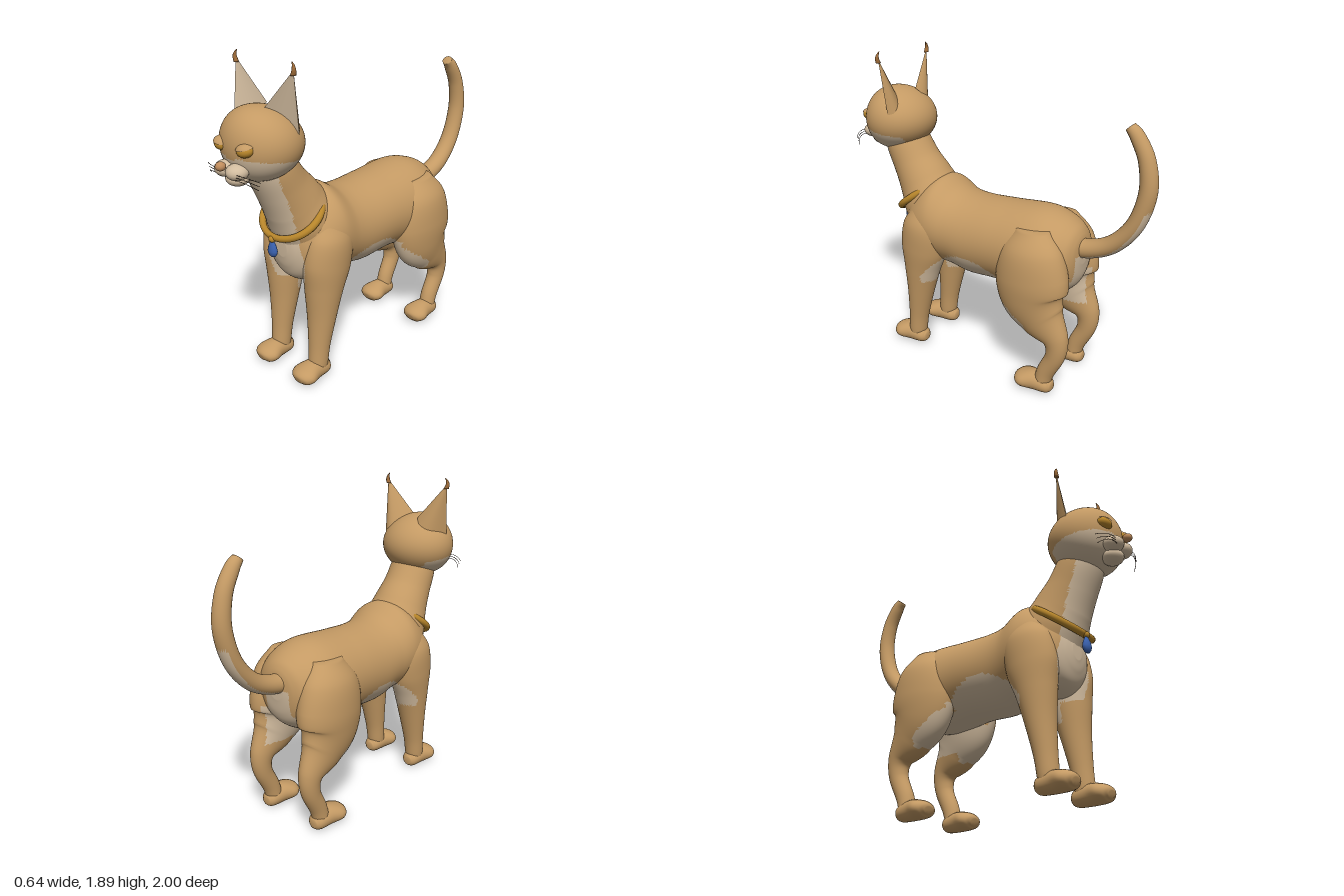
import * as THREE from 'three';

const material = (name, color) => {
  const m = new THREE.MeshStandardMaterial({ color });
  m.name = name;
  return m;
};

export function createModel() {
  const model = new THREE.Group();
  model.name = 'cat';
  const tan = material('tan fur', 0xc49a64);
  const cream = material('cream fur', 0xd2bc9f);
  const gold = material('gold', 0xb8862b);
  const blue = material('blue gem', 0x3a62b0);
  const noseColor = material('nose', 0xc08c5c);
  const brown = material('brown tuft', 0x9c6a38);
  const dark = material('dark whisker', 0x3a2c20);
  const furs = [tan, cream];

  const add = (name, geometry, mat, parent = model) => {
    const mesh = new THREE.Mesh(geometry, mat);
    mesh.name = name;
    parent.add(mesh);
    return mesh;
  };

  // Closed smooth surface from rows of points; isCream picks each face's fur colour
  function skin(name, rows, isCream) {
    const n = rows[0].length, pts = rows.flat(), lists = [[], []];
    const mid = new THREE.Vector3();
    for (let v = 0; v < rows.length - 1; v++) {
      for (let u = 0; u < n; u++) {
        const a = v * n + u, b = v * n + (u + 1) % n, c = b + n, d = a + n;
        for (const tri of [[a, b, c], [a, c, d]]) {
          mid.set(0, 0, 0);
          tri.forEach(i => mid.addScaledVector(pts[i], 1 / 3));
          lists[isCream(mid) ? 1 : 0].push(...tri);
        }
      }
    }
    const g = new THREE.BufferGeometry().setFromPoints(pts);
    g.setIndex([...lists[0], ...lists[1]]);
    g.addGroup(0, lists[0].length, 0);
    g.addGroup(lists[0].length, lists[1].length, 1);
    g.computeVertexNormals();
    return add(name, g, furs);
  }

  // Elliptical loft through keys [x, y, z, half width, half depth]; upright keeps rings vertical
  function loft(name, keys, { isCream = () => false, n = 56, steps = 10, upright = false } = {}) {
    const path = new THREE.CatmullRomCurve3(keys.map(k => new THREE.Vector3(k[0], k[1], k[2])), false, 'catmullrom');
    const size = new THREE.CatmullRomCurve3(keys.map(k => new THREE.Vector3(k[3], k[4], 0)), false, 'catmullrom');
    const X = new THREE.Vector3(1, 0, 0), rows = [], count = (keys.length - 1) * steps;
    const ring = (t, scale) => {
      const c = path.getPoint(t), s = size.getPoint(t);
      const T = upright ? new THREE.Vector3(0, 0, 1) : path.getTangent(t).setX(0).normalize();
      const N = T.cross(X);
      rows.push(Array.from({ length: n }, (_, i) => {
        const a = i / n * Math.PI * 2;
        return c.clone().addScaledVector(X, Math.cos(a) * s.x * scale).addScaledVector(N, Math.sin(a) * s.y * scale);
      }));
    };
    ring(0, 0);
    for (let i = 0; i <= count; i++) ring(i / count, 1);
    ring(1, 0);
    return skin(name, rows, isCream);
  }

  const ball = (name, mat, x, y, z, rx, ry, rz, parent) => {
    const m = add(name, new THREE.SphereGeometry(1, 24, 16), mat, parent);
    m.position.set(x, y, z);
    m.scale.set(rx, ry, rz);
    return m;
  };

  // Pale fur on chest, belly, inner legs and rump
  const bodyFur = ({ x, y, z }) => {
    const a = Math.abs(x);
    if (z > 0.44 && y > 0.58 && a < 0.132 + 0.018 * Math.sin(y * 16 + 2.5)) return true;
    if (z > -0.16 && z < 0.4 && y > 0.5 && y < 0.75 - 1.9 * (z - 0.07) ** 2) return true;
    if (z < -0.08 && z > -0.37 && y > 0.41 && y < 0.65 + (z + 0.12) * 0.75) return true;
    if (z < -0.45 && a < 0.09 && y < 0.87) return true;
    return a < 0.14 && y > 0.47 && y < 0.72 && z < 0.44;
  };

  loft('torso', [
    [0, 0.87, -0.6, 0.05, 0.06], [0, 0.85, -0.585, 0.12, 0.135], [0, 0.84, -0.55, 0.18, 0.19],
    [0, 0.835, -0.47, 0.235, 0.24], [0, 0.835, -0.34, 0.265, 0.268], [0, 0.835, -0.1, 0.256, 0.25],
    [0, 0.825, 0.1, 0.25, 0.25], [0, 0.845, 0.23, 0.25, 0.247], [0, 0.88, 0.36, 0.265, 0.275],
    [0, 0.845, 0.48, 0.24, 0.255], [0, 0.82, 0.56, 0.17, 0.19], [0, 0.82, 0.595, 0.1, 0.12],
    [0, 0.82, 0.61, 0.04, 0.05],
  ], { isCream: bodyFur, n: 80, upright: true });

  loft('neck', [
    [0, 0.84, 0.42, 0.2, 0.17], [0, 0.98, 0.465, 0.205, 0.185], [0, 1.09, 0.525, 0.175, 0.17],
    [0, 1.2, 0.595, 0.153, 0.147], [0, 1.32, 0.66, 0.143, 0.135], [0, 1.42, 0.7, 0.12, 0.12],
  ], { isCream: ({ x, y, z }) => Math.abs(x) < 0.128 && z > 0.5 + (y - 0.98) * 0.58 });

  // Tail, pale along the outside of its lower curve
  loft('tail', [
    [0, 0.91, -0.5, 0.06, 0.06], [0, 0.905, -0.62, 0.06, 0.055], [0, 0.97, -0.77, 0.058, 0.052],
    [0, 1.11, -0.89, 0.055, 0.05], [0, 1.3, -0.948, 0.052, 0.05], [0, 1.47, -0.93, 0.047, 0.046],
    [0, 1.59, -0.87, 0.042, 0.04], [0, 1.64, -0.825, 0.032, 0.03],
  ], {
    isCream: ({ x, y, z }) => y < 1.2 && Math.abs(x) < 0.045
      && Math.hypot(y - 1.35, z + 0.55) > 0.41 + 0.11 * (1.35 - y),
    n: 32,
  });

  // Head with a pale lower face
  const headRows = [];
  for (let v = 0; v <= 64; v++) {
    const p = -Math.PI / 2 + v / 64 * Math.PI;
    headRows.push(Array.from({ length: 80 }, (_, u) => {
      const a = -u / 80 * Math.PI * 2, r = Math.cos(p), h = Math.sin(p);
      return new THREE.Vector3(0.23 * r * Math.cos(a), 1.465 + 0.197 * h, 0.705 + 0.212 * r * Math.sin(a) + 0.03 * h * h);
    }));
  }
  skin('head', headRows, ({ x, y, z }) => z > 0.58 && y < 1.43 - 0.13 * (0.9 - z) - (Math.abs(x) < 0.03 ? 0.012 : 0));

  // Chin and nose
  ball('chin', cream, 0, 1.312, 0.873, 0.065, 0.042, 0.062);
  ball('nose', noseColor, 0, 1.398, 0.972, 0.027, 0.024, 0.028);

  for (const s of [1, -1]) {
    const side = s > 0 ? 'left' : 'right';

    loft(side + 'FrontLeg', [
      [s * 0.16, 0.98, 0.4, 0.07, 0.09], [s * 0.172, 0.87, 0.405, 0.108, 0.145],
      [s * 0.168, 0.72, 0.425, 0.115, 0.155], [s * 0.164, 0.57, 0.447, 0.104, 0.12],
      [s * 0.163, 0.4, 0.468, 0.085, 0.087], [s * 0.163, 0.22, 0.492, 0.065, 0.064],
      [s * 0.163, 0.1, 0.505, 0.058, 0.058], [s * 0.163, 0.05, 0.51, 0.05, 0.05],
    ], { isCream: bodyFur });

    loft(side + 'HindLeg', [
      [s * 0.16, 1.02, -0.36, 0.07, 0.1], [s * 0.178, 0.9, -0.365, 0.125, 0.19],
      [s * 0.185, 0.74, -0.37, 0.137, 0.228], [s * 0.19, 0.61, -0.385, 0.122, 0.212],
      [s * 0.193, 0.5, -0.45, 0.094, 0.155], [s * 0.195, 0.39, -0.54, 0.064, 0.083],
      [s * 0.195, 0.28, -0.545, 0.053, 0.06], [s * 0.193, 0.15, -0.485, 0.05, 0.054],
      [s * 0.193, 0.06, -0.46, 0.05, 0.05],
    ], { isCream: bodyFur });

    for (const [kind, x, z] of [['Front', 0.163, 0.545], ['Hind', 0.193, -0.415]]) {
      loft(side + kind + 'Paw', [
        [s * x, 0.06, z - 0.115, 0.025, 0.025], [s * x, 0.06, z - 0.085, 0.053, 0.048],
        [s * x, 0.067, z, 0.066, 0.06], [s * x, 0.063, z + 0.065, 0.084, 0.053],
        [s * x, 0.056, z + 0.105, 0.066, 0.042], [s * x, 0.05, z + 0.122, 0.03, 0.02],
      ], { n: 28, steps: 5 });
    }

    // Ear: curved tan back shell and shallow cream front; both ears turn slightly to the left
    const tip = new THREE.Vector3(s * 0.222, 1.86, 0.672);
    const inner = new THREE.Vector3(s * 0.045, 1.645, s > 0 ? 0.725 : 0.625);
    const outer = new THREE.Vector3(s * 0.207, 1.53, s > 0 ? 0.635 : 0.72);
    const sheet = (name, mid, mat) => {
      const base = new THREE.QuadraticBezierCurve3(inner, mid, outer);
      const pts = [], index = [], n = 12, m = 10;
      for (let v = 0; v <= m; v++)
        for (let u = 0; u <= n; u++) pts.push(base.getPoint(u / n).lerp(tip, v / m));
      for (let v = 0; v < m; v++)
        for (let u = 0; u < n; u++) {
          const a = v * (n + 1) + u, d = a + n + 1;
          const flip = (s > 0) === (mat === cream);
          index.push(...(flip ? [a, a + 1, d + 1, a, d + 1, d] : [a, d + 1, a + 1, a, d, d + 1]));
        }
      const g = new THREE.BufferGeometry().setFromPoints(pts);
      g.setIndex(index);
      g.computeVertexNormals();
      add(name, g, mat);
    };
    sheet(side + 'EarBack', new THREE.Vector3(s * 0.14, 1.54, 0.53), tan);
    sheet(side + 'EarInner', new THREE.Vector3(s * 0.12, 1.57, 0.655), cream);
    loft(side + 'EarTuft', [
      [s * 0.219, 1.835, 0.672, 0.016, 0.014], [s * 0.227, 1.862, 0.674, 0.012, 0.011],
      [s * 0.222, 1.885, 0.672, 0.007, 0.007], [s * 0.21, 1.9, 0.67, 0.002, 0.002],
    ], { n: 10, steps: 4 }).material = brown;

    // Eye under a heavy lid
    const eye = new THREE.Group();
    eye.name = side + 'Eye';
    eye.position.set(s * 0.093, 1.478, 0.885);
    eye.rotation.set(0.1, s * 0.35, s * 0.15);
    model.add(eye);
    ball('eyeball', gold, 0, 0, 0, 0.048, 0.034, 0.042, eye);
    const lid = add('upperLid', new THREE.SphereGeometry(1, 24, 10, 0, Math.PI * 2, 0, 1.2), tan, eye);
    lid.scale.set(0.054, 0.038, 0.047);

    // Cheek pad and whiskers
    ball(side + 'MuzzlePad', cream, s * 0.045, 1.362, 0.907, 0.06, 0.043, 0.06);
    for (let i = 0; i < 3; i++) {
      const y = 1.365 - i * 0.014;
      const hair = new THREE.QuadraticBezierCurve3(
        new THREE.Vector3(s * 0.075, y, 0.945), new THREE.Vector3(s * 0.15, y + 0.01, 0.95),
        new THREE.Vector3(s * (0.212 - i * 0.01), y - 0.02 - i * 0.008, 0.895));
      add(side + 'Whisker', new THREE.TubeGeometry(hair, 10, 0.0015, 5), dark);
    }
  }

  // Collar, sunk into the nape, with drop pendant
  const collar = add('collar', new THREE.TorusGeometry(0.195, 0.021, 14, 56), gold);
  collar.position.set(0, 1.01, 0.525);
  collar.rotation.x = -0.917;
  collar.scale.y = 0.88;
  ball('pendantBead', gold, 0, 0.898, 0.672, 0.022, 0.02, 0.02);
  const drop = [[0, -0.055], [0.018, -0.051], [0.03, -0.036], [0.034, -0.018], [0.028, 0.008], [0.016, 0.032], [0.007, 0.05], [0, 0.054]];
  const pendant = add('pendant', new THREE.LatheGeometry(drop.map(p => new THREE.Vector2(...p)), 24), blue);
  pendant.position.set(0, 0.845, 0.672);
  pendant.scale.z = 0.65;

  return model;
}
